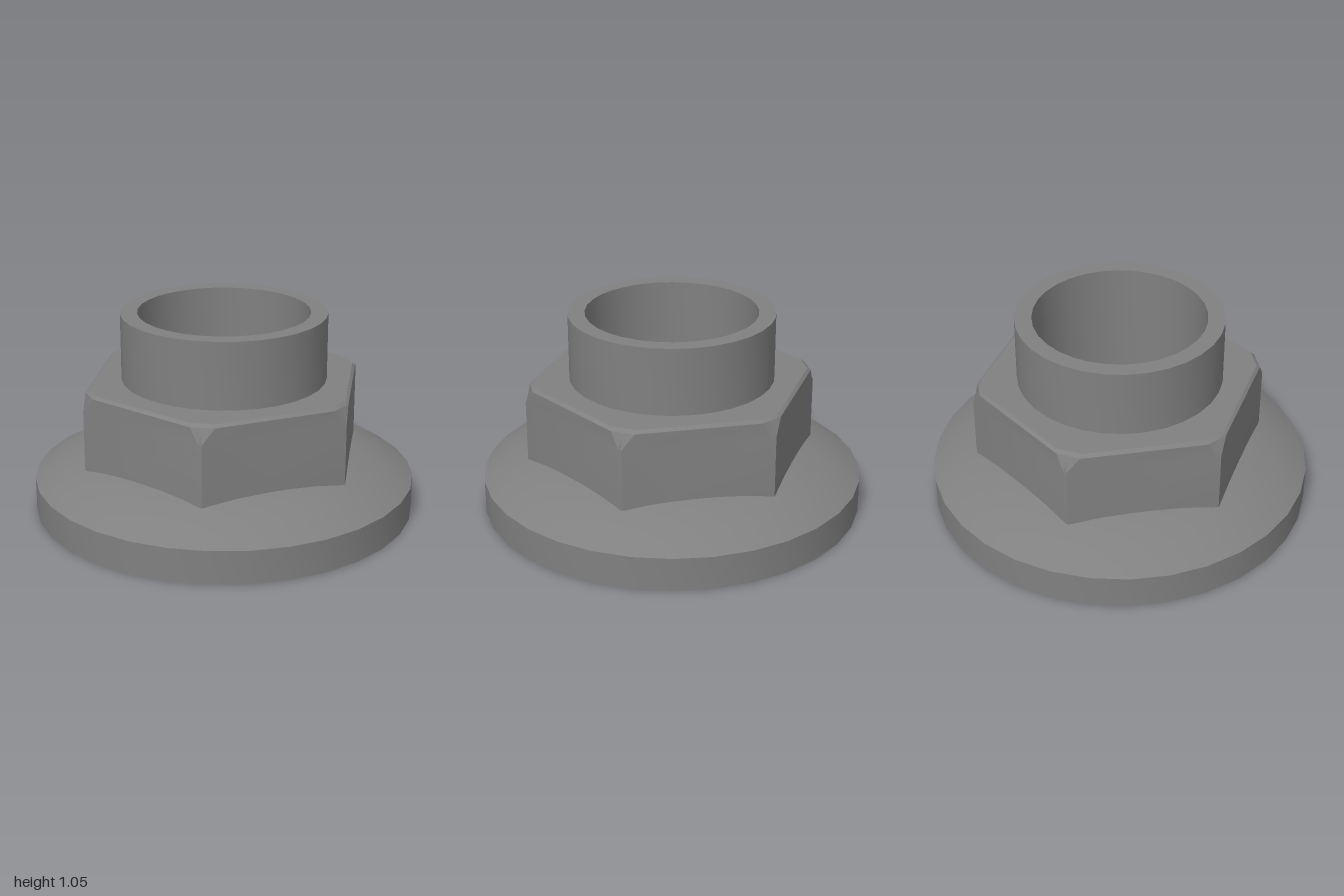
import * as THREE from 'three';
import { toCreasedNormals } from 'three/addons/utils/BufferGeometryUtils.js';

const steel = new THREE.MeshStandardMaterial({ color: 0x808080 });
steel.name = 'grey steel';

const SIDES = 32;
const BORE = 0.447;

// Turned part from [radius, height] pairs, listed upward along the outside
function turned(name, profile) {
  const points = profile.map(([r, y]) => new THREE.Vector2(r, y));
  const geometry = toCreasedNormals(new THREE.LatheGeometry(points, SIDES), 0.5);
  const mesh = new THREE.Mesh(geometry, steel);
  mesh.name = name;
  return mesh;
}

// Hexagonal loop: three points per corner, the outer two cut back along the flats
function hexLoop({ y, radius, cut, bulge = 0 }) {
  const loop = [];
  for (let i = 0; i < 6; i++) {
    const a = (i * Math.PI) / 3;
    for (const side of [-1, 0, 1]) {
      const out = radius - cut * 0.5 + (side === 0 ? bulge : 0);
      const along = side * cut * 0.866;
      loop.push([
        Math.cos(a) * out - Math.sin(a) * along,
        y,
        -(Math.sin(a) * out + Math.cos(a) * along),
      ]);
    }
  }
  return loop;
}

// Join successive loops with quads
function skin(loops) {
  const n = loops[0].length;
  const index = [];
  for (let k = 0; k < loops.length - 1; k++) {
    for (let i = 0; i < n; i++) {
      const j = (i + 1) % n;
      const a = k * n + i, b = k * n + j, c = b + n, d = a + n;
      index.push(a, b, c, a, c, d);
    }
  }
  const geometry = new THREE.BufferGeometry();
  geometry.setAttribute('position', new THREE.Float32BufferAttribute(loops.flat(2), 3));
  geometry.setIndex(index);
  return toCreasedNormals(geometry, 0.5);
}

export function createModel() {
  const group = new THREE.Group();
  group.name = 'flangedNut';

  // Washer flange with a gently domed top
  group.add(turned('flange', [
    [BORE, 0], [1, 0], [1, 0.175], [0.93, 0.218], [0.86, 0.251],
    [0.78, 0.283], [0.7, 0.307], [0.62, 0.324], [0.53, 0.335],
  ]));

  // Hexagonal body with chamfered corners and top edge
  const loops = [
    { y: 0.2, radius: 0.77, cut: 0.02, bulge: 0.008 },
    { y: 0.61, radius: 0.77, cut: 0.02, bulge: 0.008 },
    { y: 0.69, radius: 0.77, cut: 0.07 },
    { y: 0.705, radius: 0.752, cut: 0.075 },
  ].map(hexLoop);
  // Flat top face reaching in under the collar
  loops.push(loops[3].map(([x, y, z]) => {
    const s = 0.5 / Math.hypot(x, z);
    return [x * s, y, z * s];
  }));
  const hex = new THREE.Mesh(skin(loops), steel);
  hex.name = 'hexBody';
  group.add(hex);

  // Collar and the through bore
  group.add(turned('collar', [
    [0.535, 0.6], [0.535, 1.055], [BORE, 1.055], [BORE, 0],
  ]));

  return group;
}
